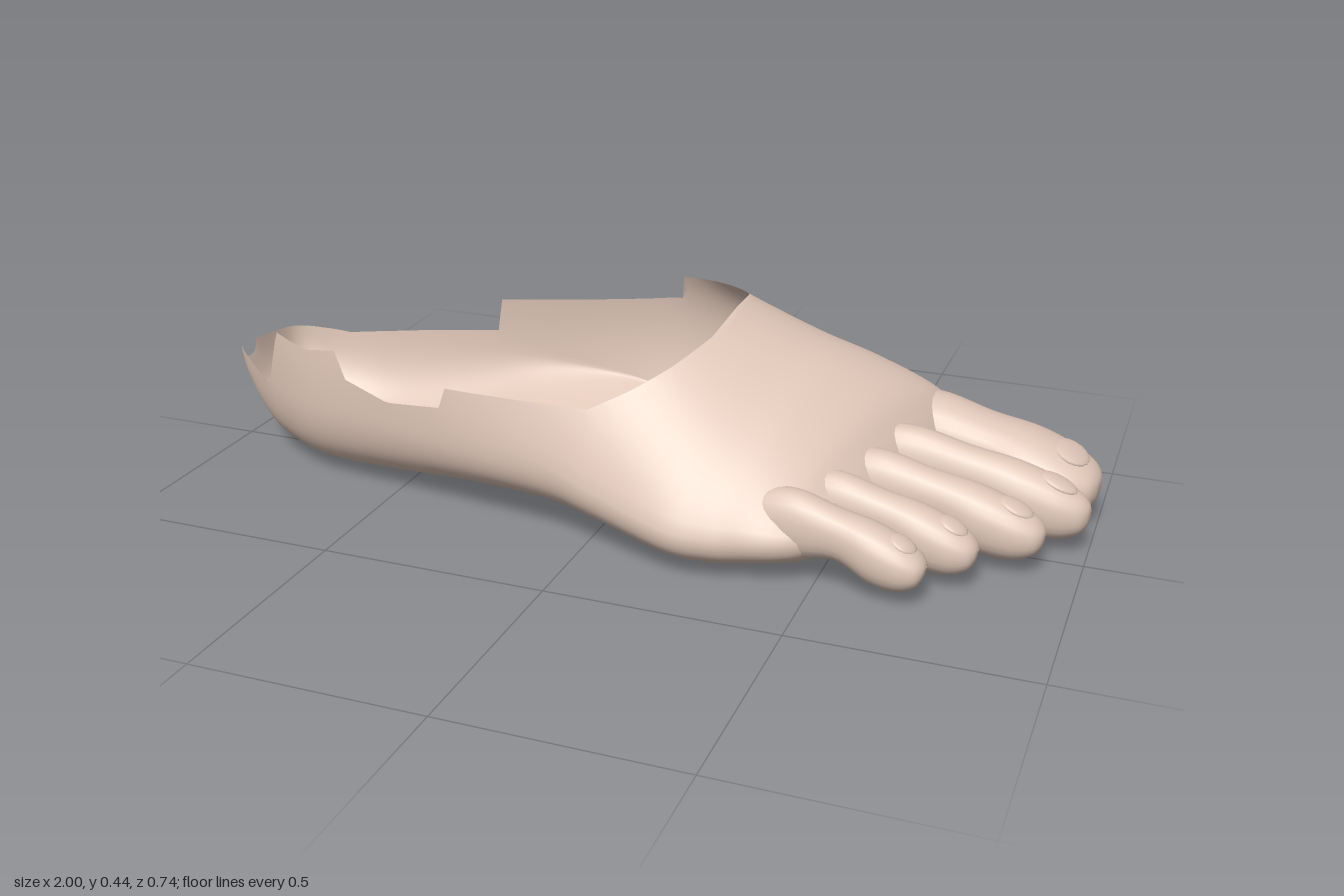
import * as THREE from 'three';
import { mergeVertices } from 'three/addons/utils/BufferGeometryUtils.js';

const skin = new THREE.MeshStandardMaterial({ color: 0xe0c7b8, side: THREE.DoubleSide });

// smooth interpolation between rows of section parameters
function sampleRows(rows, steps) {
  const out = [], n = rows.length;
  for (let i = 0; i < n - 1; i++) {
    const [p0, p1, p2, p3] = [-1, 0, 1, 2].map(k => rows[Math.min(n - 1, Math.max(0, i + k))]);
    for (let s = 0; s < steps; s++) {
      const t = s / steps;
      out.push(p1.map((b, c) => {
        const m1 = (p2[c] - p0[c]) / 2, m2 = (p3[c] - b) / 2, d = p2[c] - b;
        return b + m1 * t + (3 * d - 2 * m1 - m2) * t * t + (m1 + m2 - 2 * d) * t * t * t;
      }));
    }
  }
  out.push(rows[n - 1]);
  return out;
}

// skin a list of rings, each a list of [x, y, z]
function loft(rings) {
  const n = rings[0].length, index = [];
  for (let i = 0; i < rings.length - 1; i++) {
    for (let j = 0; j < n - 1; j++) {
      const a = i * n + j, b = a + n;
      index.push(a, a + 1, b, a + 1, b + 1, b);
    }
  }
  const geo = new THREE.BufferGeometry();
  geo.setAttribute('position', new THREE.Float32BufferAttribute(rings.flat(2), 3));
  geo.setIndex(index);
  const merged = mergeVertices(geo, 1e-5);
  merged.computeVertexNormals();
  return merged;
}

const spow = (v, e) => Math.sign(v) * Math.pow(Math.abs(v), e);

// height of the cut edge at x, from [x, y] pairs
function edgeHeight(pairs, x) {
  for (let i = 1; i < pairs.length; i++) {
    const [xa, ya] = pairs[i - 1], [xb, yb] = pairs[i];
    if (x <= xb) return ya + (yb - ya) * Math.max(0, (x - xa) / (xb - xa));
  }
  return pairs[pairs.length - 1][1];
}

// cut edge on the inner (-z) and outer (+z) side; a height of 1 means closed
const innerEdge = [[-1, .235], [-.84, .21], [-.44, .26], [-.43, .34], [0, .39], [.02, .39],
  [.03, .45], [.2, .44], [.205, 1]];
const outerEdge = [[-1, .235], [-.84, .21], [-.8, .345], [-.7, .33], [-.61, .345], [-.6, .285],
  [-.48, .25], [-.34, .265], [-.33, .31], [0, .31], [.02, .32], [.08, .35], [.15, .39], [.2, .425], [.205, 1]];

// x, inner z, outer z, sole y, widest y, top y, crest z, slant, arch lift
const heelRows = [
  [-1, -.05, .01, .2, .235, .6, -.02, 0, 0],
  [-.97, -.17, .04, .125, .24, .65, -.06, 0, 0],
  [-.9, -.215, .1, .06, .25, .7, -.05, 0, 0],
  [-.82, -.235, .155, .03, .26, .7, -.04, 0, 0],
  [-.7, -.245, .205, .015, .26, .7, -.02, 0, 0],
  [-.5, -.25, .24, .025, .25, .7, 0, 0, .03],
  [-.3, -.255, .27, .045, .22, .66, -.01, 0, .09],
  [-.1, -.255, .295, .05, .19, .6, -.05, 0, .12],
];
const foreRows = [
  [.02, -.262, .325, .042, .16, .56, -.08, 0, .09],
  [.2, -.31, .37, .012, .12, .458, -.11, 0, .025],
  [.33, -.34, .365, .008, .11, .39, -.11, .1, 0],
  [.43, -.35, .348, .012, .11, .345, -.11, .2, 0],
  [.52, -.335, .335, .022, .11, .29, -.11, .3, 0],
  [.57, -.31, .315, .035, .11, .235, -.1, .33, 0],
  [.61, -.26, .275, .06, .11, .17, -.06, .33, 0],
  [.63, -.17, .18, .1, .11, .12, 0, .33, 0],
];

function bodyRing([x, zA, zB, y0, yw, yT, zP, slant, arch]) {
  const mid = (zA + zB) / 2, half = (zB - zA) / 2, N = 36, ring = [];
  const limit = rim => rim >= yw
    ? Math.asin(Math.min(1, (rim - yw) / (yT - yw)))
    : -Math.asin(Math.pow(Math.min(1, (yw - rim) / (yw - y0)), 1 / .7));
  const point = (a, side) => {
    const e = a < 0 ? .7 : 1, s = spow(Math.sin(a), e), c = Math.pow(Math.abs(Math.cos(a)), e);
    let z = mid + side * half * c, y = yw + s * (s < 0 ? yw - y0 : yT - yw);
    if (s > 0) z += (zP - mid) * s;
    else if (side < 0) y -= arch * s * c;
    return [x - slant * z, y, z];
  };
  const aA = limit(edgeHeight(innerEdge, x)), aB = limit(edgeHeight(outerEdge, x));
  // angles are clamped at the cut edge, so the rest of the grid stays even
  for (let i = 0; i < N; i++) ring.push(point(Math.min(aA, Math.PI * (.5 - i / N)), -1));
  for (let i = 0; i <= N; i++) ring.push(point(Math.min(aB, Math.PI * (i / N - .5)), 1));
  return ring;
}

// position along toe, width factor, underside y, top factor
const toeRows = [
  [0, .5, .08, .6], [.15, .75, .07, .9], [.35, .88, .06, 1], [.57, .82, .073, .88],
  [.74, 1, .04, .8], [.87, .96, .034, .69], [.955, .74, .048, .58], [.99, .42, .07, .5], [1, .02, .095, .44],
];

function makeToe(name, x0, z0, x1, z1, half, top) {
  const toe = new THREE.Group();
  toe.name = name;
  const rings = sampleRows(toeRows, 5).map(([t, w, yb, yt]) => {
    const ring = [], x = x0 + (x1 - x0) * t, z = z0 + (z1 - z0) * t;
    const cy = (yb + yt * top) / 2, h = Math.max(.002, (yt * top - yb) / 2);
    for (let i = 0; i <= 24; i++) {
      const a = Math.PI / 2 - i / 24 * Math.PI * 2;
      ring.push([x, cy + h * spow(Math.sin(a), .9), z - half * w * spow(Math.cos(a), .9)]);
    }
    return ring;
  });
  const flesh = new THREE.Mesh(loft(rings), skin);
  flesh.name = name + 'Flesh';

  // shallow nail bed on the upper side of the tip
  const nail = new THREE.Mesh(new THREE.SphereGeometry(1, 16, 10), skin);
  nail.name = name + 'Nail';
  const len = x1 - x0;
  nail.scale.set(len * .075, .011, half * .55);
  nail.rotation.z = -Math.atan2(top * .22, len * .215);
  nail.position.set(x0 + len * .88, top * .68 - .007, z0 + (z1 - z0) * .88);
  toe.add(flesh, nail);
  return toe;
}

export function createModel() {
  const foot = new THREE.Group();
  foot.name = 'foot';

  // open heel shell, instep and ball
  const body = new THREE.Mesh(loft(sampleRows([...heelRows, ...foreRows], 14).map(bodyRing)), skin);
  body.name = 'footBody';
  foot.add(body);

  // toes: base x and z, tip x and z, half width, base height
  const toes = [
    ['bigToe', .42, -.262, 1, -.22, .106, .25],
    ['secondToe', .4, -.058, .998, -.066, .06, .242],
    ['middleToe', .38, .045, .925, .063, .06, .225],
    ['fourthToe', .35, .155, .81, .177, .056, .212],
    ['littleToe', .3, .252, .728, .285, .056, .205],
  ];
  for (const t of toes) foot.add(makeToe(...t));
  return foot;
}
